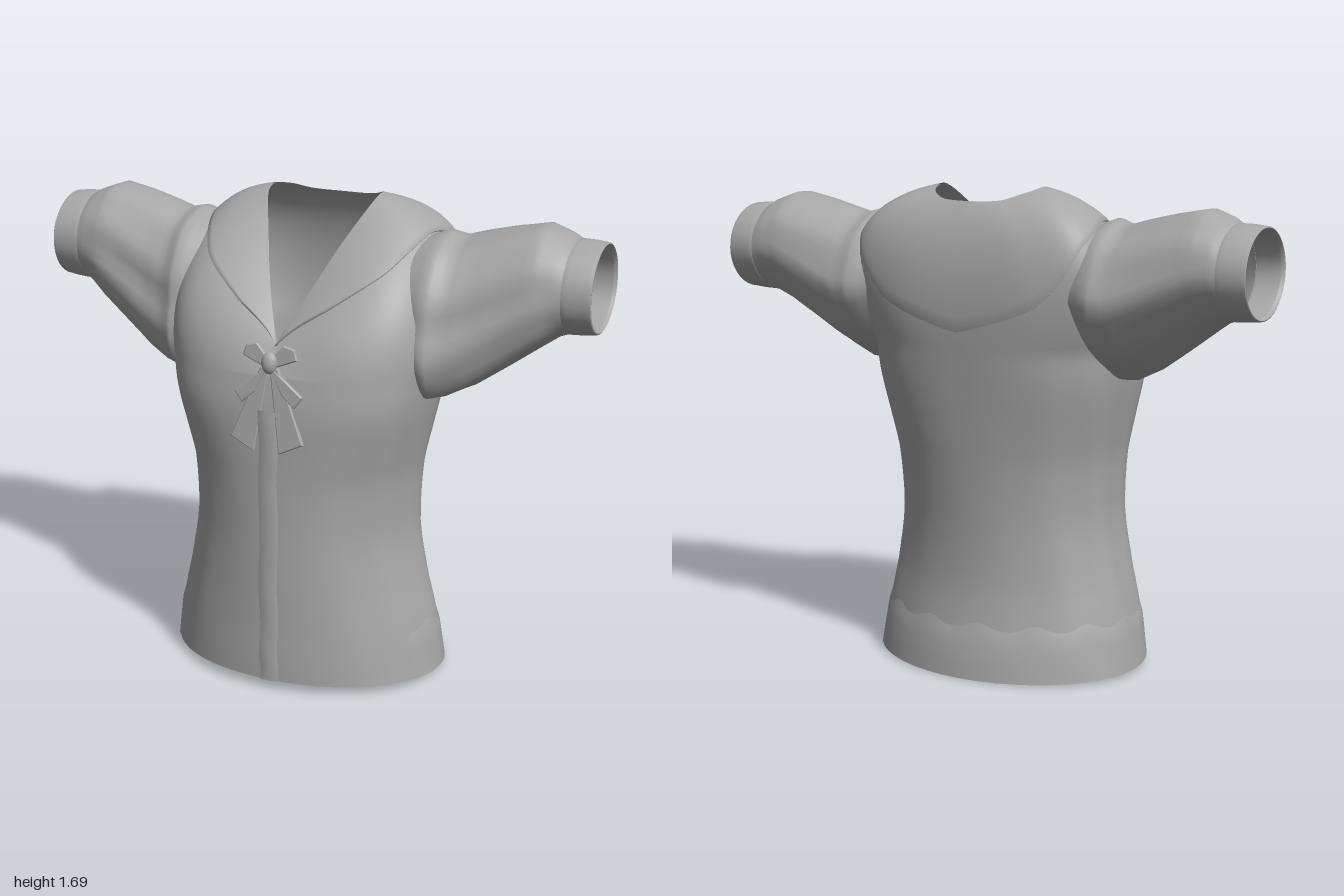
import * as THREE from 'three';

const V = (x, y, z) => new THREE.Vector3(x, y, z);
const curve = (pts) => new THREE.CatmullRomCurve3(pts.map((p) => V(...p)));
const TAU = Math.PI * 2;

// torso profile going up: half width, front depth, back depth, with matching heights
const levels = [0.02, 0.1, 0.2, 0.35, 0.55, 0.75, 0.9, 1.03, 1.15];
const torso = curve([
  [0.5, 0.385, 0.36], [0.488, 0.385, 0.35], [0.472, 0.383, 0.33], [0.437, 0.382, 0.312], [0.405, 0.38, 0.315],
  [0.41, 0.378, 0.33], [0.435, 0.378, 0.345], [0.457, 0.375, 0.358], [0.47, 0.358, 0.37]]);
// neckline and shoulder control points, from centre front round the side to centre back
const neck = curve([[0, 1.25, 0.3], [0.07, 1.4, 0.19], [0.14, 1.56, 0.05], [0.2, 1.685, -0.1],
  [0.18, 1.675, -0.21], [0.11, 1.65, -0.272], [0, 1.645, -0.29]]);
const shoulder = curve([[0, 1.2, 0.335], [0.27, 1.36, 0.31], [0.46, 1.5, 0.2], [0.56, 1.61, -0.09],
  [0.56, 1.6, -0.36], [0.35, 1.53, -0.412], [0, 1.5, -0.41]]);

const spow = (v, e) => Math.sign(v) * Math.abs(v) ** e;

// horizontal cross-section of the torso, oval at the hem and squarer at the chest; v runs 0 to 1
function ring(a, v) {
  const f = v * (levels.length - 1);
  const i = Math.min(Math.floor(f), levels.length - 2);
  const y = THREE.MathUtils.lerp(levels[i], levels[i + 1], f - i);
  const p = torso.getPoint(v);
  const c = Math.cos(a);
  const e = THREE.MathUtils.lerp(0.96, 0.7, THREE.MathUtils.smoothstep(v, 0.5, 0.95)) + (c > 0 ? 0 : 0.05);
  const fold = 1 + 0.012 * Math.cos(11 * a + 3 * v) * Math.sin(Math.PI * v) * Math.sin(a) ** 2;
  return V(p.x * spow(Math.sin(a), e) * fold, y + 0.018 * c * (1 - v),
    (c > 0 ? p.y : p.z) * spow(c, e) * fold);
}

// whole garment surface: v 0..1 is the torso, 1..2 curves over the shoulders to the neckline
function surface(a, v) {
  if (v <= 1) return ring(a, v);
  const s = v - 1;
  const half = a > Math.PI ? TAU - a : a;
  const m = a > Math.PI ? -1 : 1;
  const k = shoulder.getPoint(half / Math.PI);
  const n = neck.getPoint(half / Math.PI);
  k.x *= m;
  n.x *= m;
  return ring(a, 1).multiplyScalar((1 - s) ** 2).addScaledVector(k, 2 * s * (1 - s)).addScaledVector(n, s * s);
}

// surface point pushed outwards by d
function lifted(a, v, d) {
  const e = 0.01;
  const wrap = (t) => (t + TAU) % TAU;
  const du = surface(wrap(a + e), v).sub(surface(wrap(a - e), v));
  const dv = surface(wrap(a), Math.min(v + e, 2)).sub(surface(wrap(a), Math.max(v - e, 0)));
  return surface(wrap(a), v).addScaledVector(du.cross(dv).normalize(), d);
}

// grid of quads from fn(u, v), with u and v in 0..1; closed joins the last column to the first
function loft(fn, nu, nv, closed) {
  const pts = [], idx = [];
  const cols = closed ? nu : nu + 1;
  for (let j = 0; j <= nv; j++)
    for (let i = 0; i < cols; i++) pts.push(fn(i / nu, j / nv));
  for (let j = 0; j < nv; j++)
    for (let i = 0; i < nu; i++) {
      const a = j * cols + i, b = j * cols + (i + 1) % cols;
      idx.push(a, b, b + cols, a, b + cols, a + cols);
    }
  const g = new THREE.BufferGeometry().setFromPoints(pts);
  g.setIndex(idx);
  g.computeVertexNormals();
  return g;
}

// sleeve stations: x, top y, bottom y, front z, back z
const sleeveRings = [
  [0.36, 1.56, 1.13, 0.13, -0.31], [0.46, 1.595, 1.04, 0.17, -0.355], [0.52, 1.578, 1.05, 0.14, -0.348],
  [0.6, 1.6, 1.09, 0.115, -0.337], [0.7, 1.625, 1.16, 0.095, -0.327], [0.8, 1.645, 1.23, 0.08, -0.318],
  [0.87, 1.62, 1.275, 0.062, -0.31], [0.91, 1.597, 1.287, 0.05, -0.302]];
const cuffRings = [
  [0.895, 1.59, 1.29, 0.045, -0.295], [0.9, 1.601, 1.283, 0.055, -0.306], [0.95, 1.6, 1.285, 0.051, -0.304],
  [0.997, 1.595, 1.29, 0.047, -0.3], [1, 1.59, 1.295, 0.043, -0.295], [0.985, 1.583, 1.302, 0.036, -0.288],
  [0.9, 1.583, 1.302, 0.036, -0.288]];

function tubeOf(rings, pleat) {
  const fn = (u, v) => {
    const f = v * (rings.length - 1);
    const i = Math.min(Math.floor(f), rings.length - 2);
    const [x, top, bottom, front, back] = rings[i].map((q, k) => THREE.MathUtils.lerp(q, rings[i + 1][k], f - i));
    const b = u * TAU;
    const r = 1 + pleat * Math.cos(9 * b + 4 * v) * Math.sin(Math.PI * v);
    // the underarm swings forward where the sleeve is deep
    const swing = (top - bottom - 0.3) * 0.42 * Math.max(0, -Math.cos(b));
    return V(x, (top + bottom) / 2 + Math.cos(b) * r * (top - bottom) / 2,
      (front + back) / 2 + Math.sin(b) * r * (front - back) / 2 + swing);
  };
  return loft(fn, 40, (rings.length - 1) * 3, true);
}

// flat ribbon cut from an outline
function ribbon(points, depth) {
  const shape = new THREE.Shape(points.map(([x, y]) => new THREE.Vector2(x, y)));
  return new THREE.ExtrudeGeometry(shape, { depth, bevelEnabled: true, bevelSize: 0.004, bevelThickness: 0.004, bevelSegments: 1 });
}

export function createModel() {
  const model = new THREE.Group();
  model.name = 'blouse';
  const fabric = new THREE.MeshStandardMaterial({ color: 0xa8a8a8, side: THREE.DoubleSide });
  fabric.name = 'greyFabric';
  const add = (name, geometry, parent = model) => {
    const mesh = new THREE.Mesh(geometry, fabric);
    mesh.name = name;
    parent.add(mesh);
    return mesh;
  };

  add('body', loft((u, v) => surface(u * TAU, v * 2), 120, 60, true));

  // wide collar: a layer over the shoulders, narrow in front and rounded behind
  const collarEdge = curve([[0.93, 0, 0], [0.74, 0, 0], [0.65, 0, 0], [0.64, 0, 0], [0.52, 0, 0], [0.24, 0, 0], [0.1, 0, 0]]);
  add('collar', loft((u, v) => {
    const a = u * TAU;
    const s0 = collarEdge.getPoint(Math.min(a, TAU - a) / Math.PI).x;
    const w = Math.max(0, (v - 1 / 12) * 12 / 11);
    return lifted(a, 1 + s0 + (0.999 - s0) * w, v === 0 ? 0 : 0.01 - 0.006 * w);
  }, 96, 12, true));

  // band round the sides and back of the hem
  add('hemBand', loft((u, v) => {
    const a = Math.PI * (0.36 + 1.28 * u);
    const edge = v > 0.99 || u < 0.001 || u > 0.999;
    return lifted(a, v * (0.25 + 0.012 * Math.sin(14 * a)), edge ? 0 : 0.005);
  }, 72, 6, false));

  // button placket down the centre front
  const strip = [[-0.034, -0.003], [-0.032, 0.006], [0, 0.008], [0.032, 0.006], [0.034, -0.003]];
  add('placket', loft((u, v) => {
    const [x, d] = strip[Math.round(u * 4)];
    const p = ring(0, v * 0.88);
    return V(x + 0.003 * Math.sin(v * 24), p.y, p.z + d);
  }, 4, 40, false));

  // sleeves with turned cuffs
  for (const side of [1, -1]) {
    const arm = new THREE.Group();
    arm.name = side > 0 ? 'leftSleeve' : 'rightSleeve';
    arm.scale.x = side;
    add('sleeve', tubeOf(sleeveRings, 0.02), arm);
    add('cuff', tubeOf(cuffRings, 0), arm);
    model.add(arm);
  }

  // ribbon bow below the neckline
  const bow = new THREE.Group();
  bow.name = 'bow';
  bow.position.set(0, 1.2, 0.348);
  bow.rotation.x = -0.11;
  const knot = add('knot', new THREE.SphereGeometry(0.032, 16, 10), bow);
  knot.scale.set(0.9, 1.2, 0.7);
  knot.position.z = 0.01;
  for (const side of [1, -1]) {
    const half = new THREE.Group();
    half.name = side > 0 ? 'leftBowHalf' : 'rightBowHalf';
    half.scale.x = side;
    add('loop', ribbon([[0.01, -0.015], [0.06, 0.005], [0.095, 0.02], [0.085, 0.05], [0.05, 0.06], [0.01, 0.015]], 0.008), half);
    add('shortTail', ribbon([[0.01, -0.02], [0.075, -0.07], [0.12, -0.105], [0.095, -0.14], [0.05, -0.1]], 0.012), half);
    add('longTail', ribbon([[0.005, -0.02], [0.03, -0.02], [0.09, -0.17], [0.128, -0.265], [0.048, -0.305], [0.03, -0.18]], 0.009), half);
    bow.add(half);
  }
  model.add(bow);
  return model;
}
